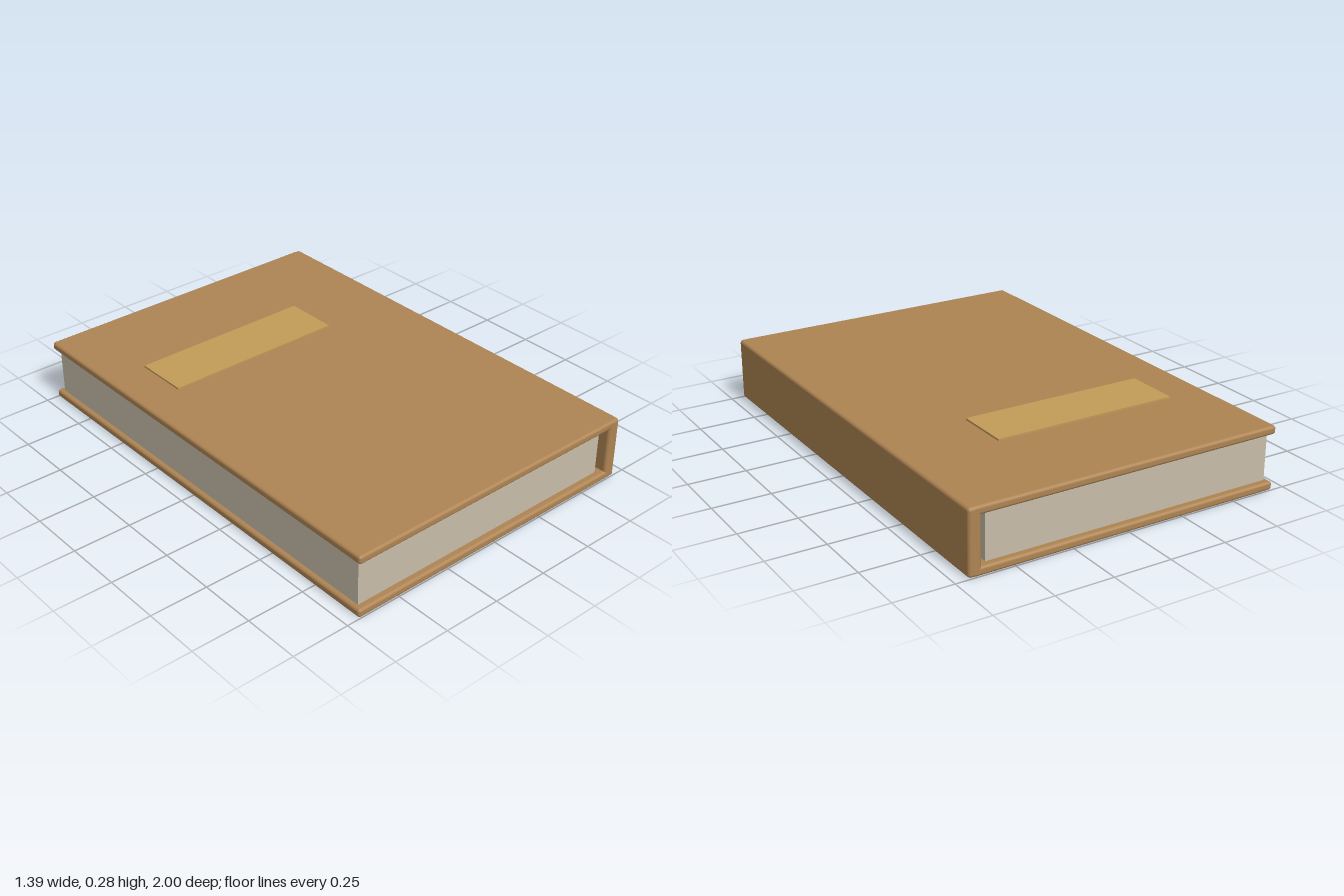
import * as THREE from 'three';
import { RoundedBoxGeometry } from 'three/addons/geometries/RoundedBoxGeometry.js';

const material = (name, color) => {
  const m = new THREE.MeshStandardMaterial({ color });
  m.name = name;
  return m;
};

export function createModel() {
  const book = new THREE.Group();
  book.name = 'book';

  const leather = material('brown leather', 0xae8453);
  const paper = material('paper', 0xc8bda8);
  const gold = material('dull gold', 0xc29c58);

  // Adds a box given its x, y and z ranges; a radius rounds its edges
  const addBox = (name, mat, [x0, x1], [y0, y1], [z0, z1], radius = 0) => {
    const size = [x1 - x0, y1 - y0, z1 - z0];
    const geometry = radius
      ? new RoundedBoxGeometry(...size, 3, radius)
      : new THREE.BoxGeometry(...size);
    const mesh = new THREE.Mesh(geometry, mat);
    mesh.name = name;
    mesh.position.set((x0 + x1) / 2, (y0 + y1) / 2, (z0 + z1) / 2);
    book.add(mesh);
  };

  // Case: two boards joined by the spine
  addBox('bottomCover', leather, [-0.695, 0.675], [0, 0.036], [-1, 1], 0.012);
  addBox('topCover', leather, [-0.695, 0.675], [0.239, 0.275], [-1, 1], 0.012);
  addBox('spine', leather, [0.64, 0.695], [0, 0.275], [-1, 1], 0.014);

  // Page block, set in from the cover edges with a gap before the spine
  addBox('pages', paper, [-0.675, 0.61], [0.034, 0.241], [-0.97, 0.97]);

  // Thin title plate on the top cover
  addBox('titlePlate', gold, [-0.515, 0.302], [0.274, 0.283], [-0.562, -0.322]);

  return book;
}
